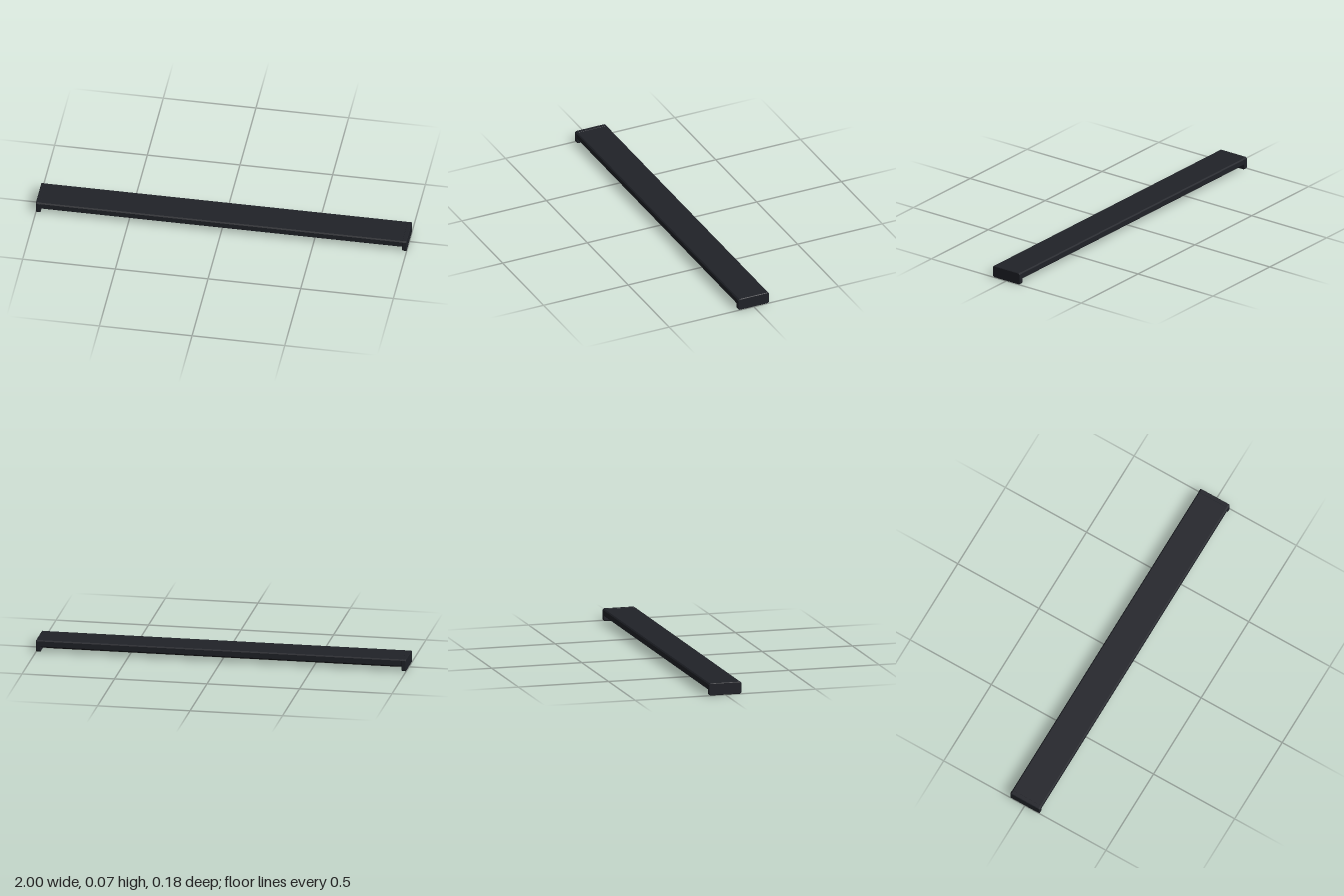
import * as THREE from 'three';

const material = (color) => new THREE.MeshStandardMaterial({ color, flatShading: true });

// Chamfered block: outline in the z-y plane, run along x, optional bevelled ends
function chamferedBlock(length, y0, y1, halfDepth, cut, bevel) {
  const b = bevel, h = halfDepth - b, lo = y0 + b, hi = y1 - b;
  const shape = new THREE.Shape([
    [-h + cut, lo], [h - cut, lo], [h, lo + cut], [h, hi - cut],
    [h - cut, hi], [-h + cut, hi], [-h, hi - cut], [-h, lo + cut],
  ].map(([x, y]) => new THREE.Vector2(x, y)));
  const geometry = new THREE.ExtrudeGeometry(shape, {
    depth: length - 2 * b, steps: 1, bevelEnabled: b > 0,
    bevelSize: b, bevelThickness: b, bevelSegments: 1,
  });
  geometry.translate(0, 0, -(length - 2 * b) / 2);
  geometry.rotateY(Math.PI / 2);
  return geometry;
}

export function createModel() {
  const group = new THREE.Group();
  const dark = material(0x202228);
  const grey = material(0x77797c);
  const black = material(0x050505);

  const add = (name, geometry, mat, x = 0, y = 0) => {
    const mesh = new THREE.Mesh(geometry, mat);
    mesh.name = name;
    mesh.position.set(x, y, 0);
    group.add(mesh);
  };

  // Long housing between the end caps
  add('housing', chamferedBlock(1.96, 0.026, 0.065, 0.09, 0.006, 0), dark);

  // End caps reaching down to the ground
  for (const side of [1, -1]) {
    add(side > 0 ? 'leftEndCap' : 'rightEndCap',
      chamferedBlock(0.025, 0, 0.066, 0.091, 0.006, 0.003), dark, side * 0.9875);
  }

  // Grey plate under the housing
  add('undersidePlate', new THREE.BoxGeometry(1.95, 0.006, 0.15), grey, 0, 0.028);

  // Thin black panel hanging just below the plate
  add('lowerPanel', new THREE.BoxGeometry(1.9, 0.007, 0.1), black, 0, 0.0165);

  return group;
}
